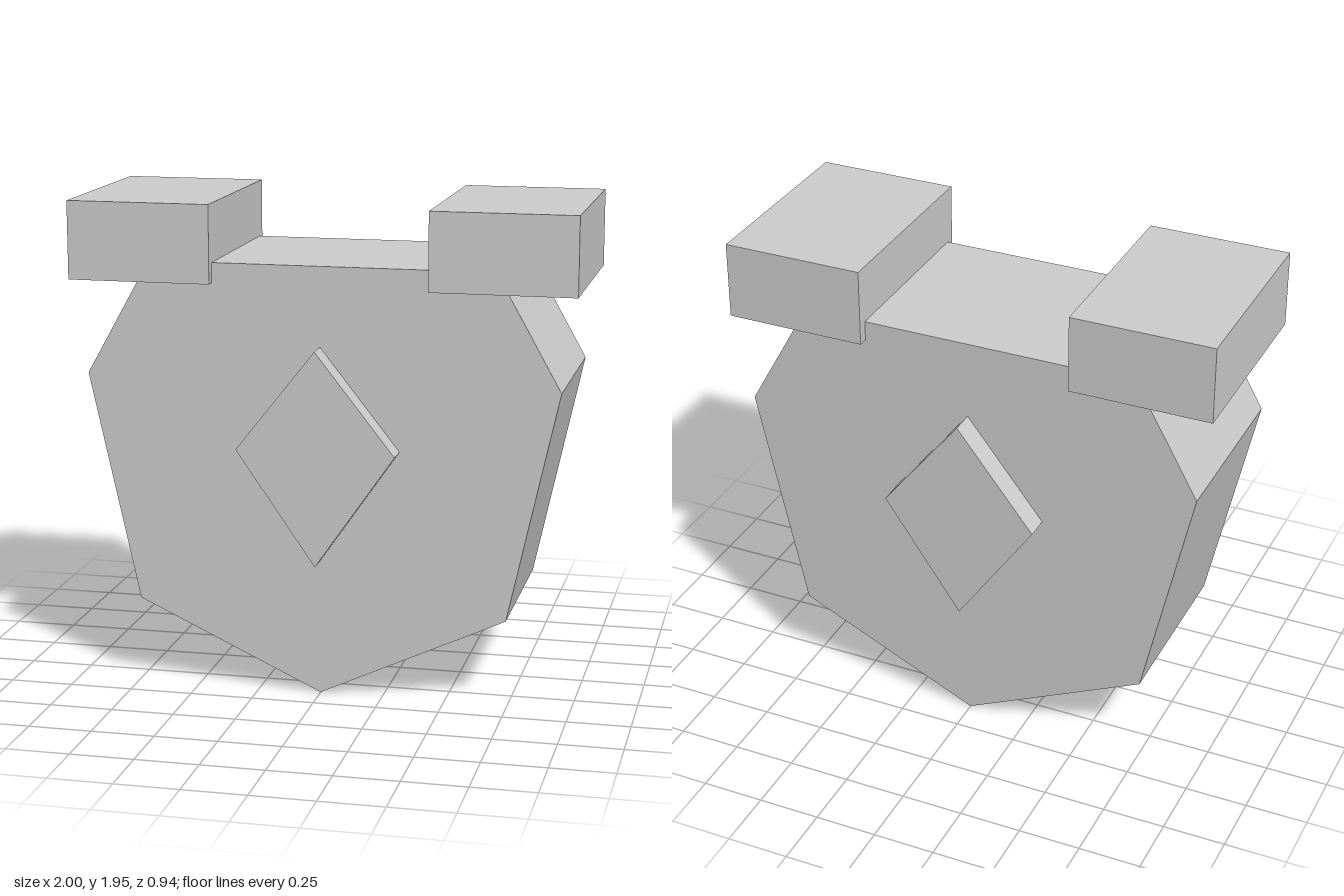
import * as THREE from 'three';

// Extrude a flat outline symmetrically about z = 0
function slab(points, depth) {
  const shape = new THREE.Shape(points.map(([x, y]) => new THREE.Vector2(x, y)));
  const geometry = new THREE.ExtrudeGeometry(shape, { depth, bevelEnabled: false });
  return geometry.translate(0, 0, -depth / 2);
}

export function createModel() {
  const model = new THREE.Group();
  const grey = new THREE.MeshStandardMaterial({ color: 0xcccccc, flatShading: true });
  grey.name = 'light grey';

  const add = (name, geometry) => {
    const mesh = new THREE.Mesh(geometry, grey);
    mesh.name = name;
    model.add(mesh);
    return mesh;
  };

  // Shield-shaped body, mirrored from its left half outline
  const half = [[0.74, 0.345], [0.94, 1.26], [0.685, 1.715]];
  const mirrored = half.map(([x, y]) => [-x, y]).reverse();
  add('body', slab([[0, 0], ...half, ...mirrored], 0.74));

  // Raised diamonds on the front and back
  const diamond = [[0, 0.545], [0.315, 1], [0, 1.4], [-0.315, 1]];
  for (const side of [1, -1]) {
    const emblem = add(side > 0 ? 'frontDiamond' : 'backDiamond', slab(diamond, 0.115));
    emblem.position.z = side * 0.41;
  }

  // Blocks on the upper corners
  for (const side of [1, -1]) {
    const block = add(side > 0 ? 'leftBlock' : 'rightBlock', new THREE.BoxGeometry(0.57, 0.31, 0.82));
    block.position.set(side * 0.715, 1.79, 0);
  }

  return model;
}
